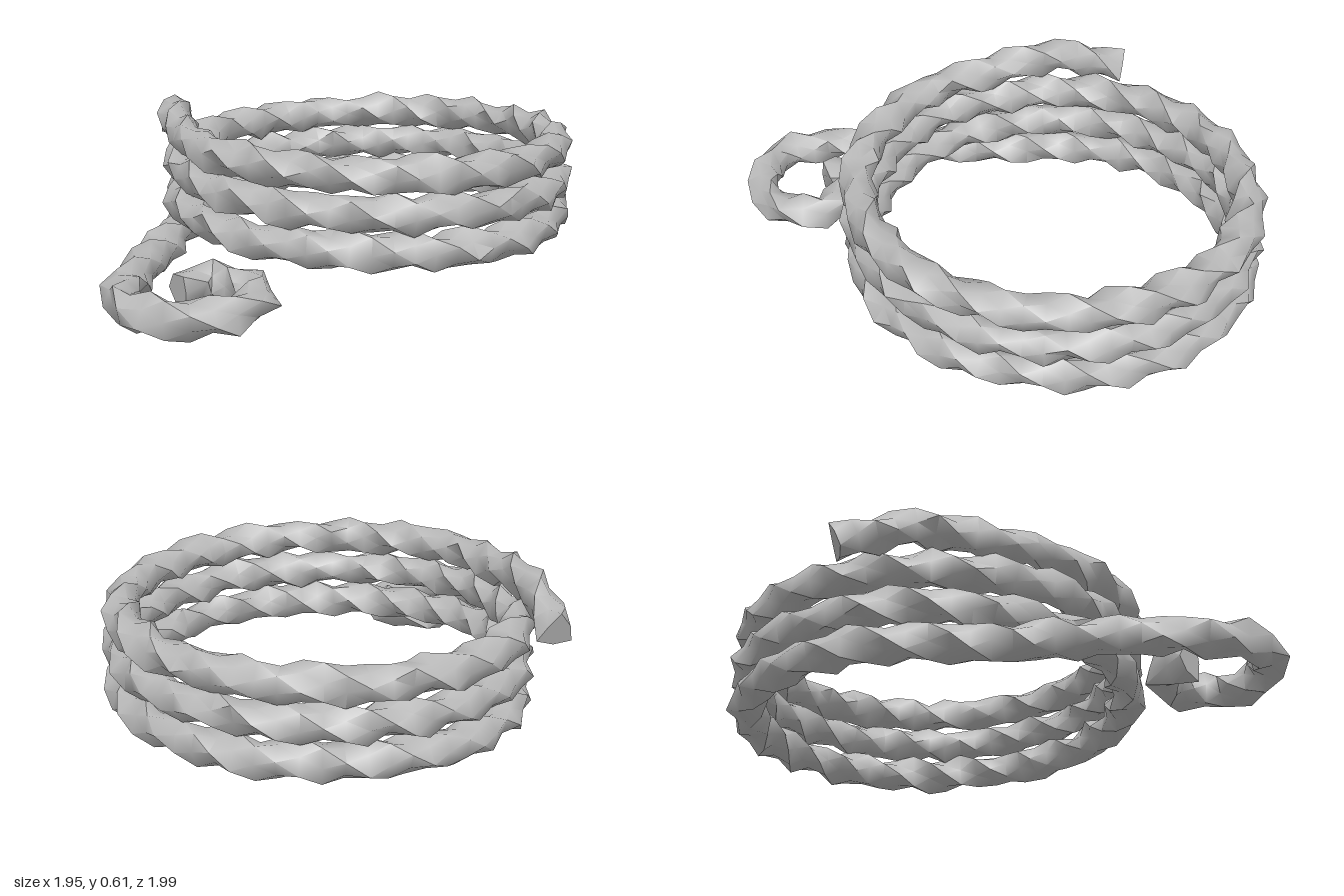
import * as THREE from 'three';
import { toCreasedNormals } from 'three/addons/utils/BufferGeometryUtils.js';

const SIDES = 6;      // three ridges with shallower strands between them
const STEP = 0.075;   // spacing of cross-sections along the rope
const LAY = 0.7;      // length of one full twist

// Centre line: curled tail, three rising turns, loose end on top
function ropePath() {
  const tail = [
    [-0.69, 0.085, 0.63], [-0.57, 0.09, 0.56], [-0.43, 0.09, 0.66], [-0.425, 0.085, 0.8],
    [-0.51, 0.085, 0.89], [-0.68, 0.085, 0.93], [-0.84, 0.085, 0.85], [-0.89, 0.085, 0.63],
    [-0.83, 0.09, 0.4], [-0.76, 0.09, 0.18], [-0.7, 0.085, 0], [-0.645, 0.085, -0.2],
  ].map((p) => new THREE.Vector3(...p));
  const coil = [];
  const start = 0.32, end = Math.PI * 6, n = 72;
  for (let i = 0; i <= n; i++) {
    const t = start + ((end - start) * i) / n;
    coil.push(new THREE.Vector3(
      0.127 - 0.765 * Math.cos(t),
      0.08 + (0.145 * t) / (Math.PI * 2),
      -0.14 - 0.765 * Math.sin(t)));
  }
  const loose = [
    new THREE.Vector3(-0.65, 0.52, -0.42),
    new THREE.Vector3(-0.635, 0.43, -0.68),
  ];
  return new THREE.CatmullRomCurve3([...tail, ...coil, ...loose]);
}

// Small seeded noise in 0..1 for the uneven fibres
function makeNoise(seed) {
  let s = seed;
  return () => {
    s = (s * 16807) % 2147483647;
    return s / 2147483647;
  };
}

// Sweep a twisting lobed section along the curve
function twistedRope(curve) {
  curve.arcLengthDivisions = 2000;
  const noise = makeNoise(7);
  const length = curve.getLength();
  const rings = Math.round(length / STEP);
  const up = new THREE.Vector3(0, 1, 0);
  const positions = [], index = [];
  for (let i = 0; i <= rings; i++) {
    const c = curve.getPointAt(i / rings);
    const tangent = curve.getTangentAt(i / rings);
    const side = up.clone().cross(tangent).normalize();
    const lift = tangent.clone().cross(side);
    const twist = ((i / rings) * length / LAY) * Math.PI * 2;
    for (let j = 0; j < SIDES; j++) {
      const a = twist + (j / SIDES) * Math.PI * 2;
      const r = (j % 2 ? 0.055 : 0.077) + (noise() - 0.5) * 0.024;
      const p = c.clone()
        .addScaledVector(side, r * Math.cos(a))
        .addScaledVector(lift, r * Math.sin(a));
      positions.push(p.x, p.y, p.z);
    }
  }
  for (let i = 0; i < rings; i++) {
    for (let j = 0; j < SIDES; j++) {
      const a = i * SIDES + j, b = i * SIDES + ((j + 1) % SIDES);
      index.push(a, b, a + SIDES, b, b + SIDES, a + SIDES);
    }
  }
  // Cut ends
  const last = rings * SIDES;
  for (let j = 1; j < SIDES - 1; j++) {
    index.push(0, j + 1, j);
    index.push(last, last + j, last + j + 1);
  }
  const geometry = new THREE.BufferGeometry();
  geometry.setAttribute('position', new THREE.Float32BufferAttribute(positions, 3));
  geometry.setIndex(index);
  return toCreasedNormals(geometry, 1.0);
}

export function createModel() {
  const model = new THREE.Group();
  model.name = 'coiledRope';
  const material = new THREE.MeshStandardMaterial({ color: 0xb8b8b8 });
  material.name = 'ropeGrey';
  const rope = new THREE.Mesh(twistedRope(ropePath()), material);
  rope.name = 'rope';
  model.add(rope);
  return model;
}
